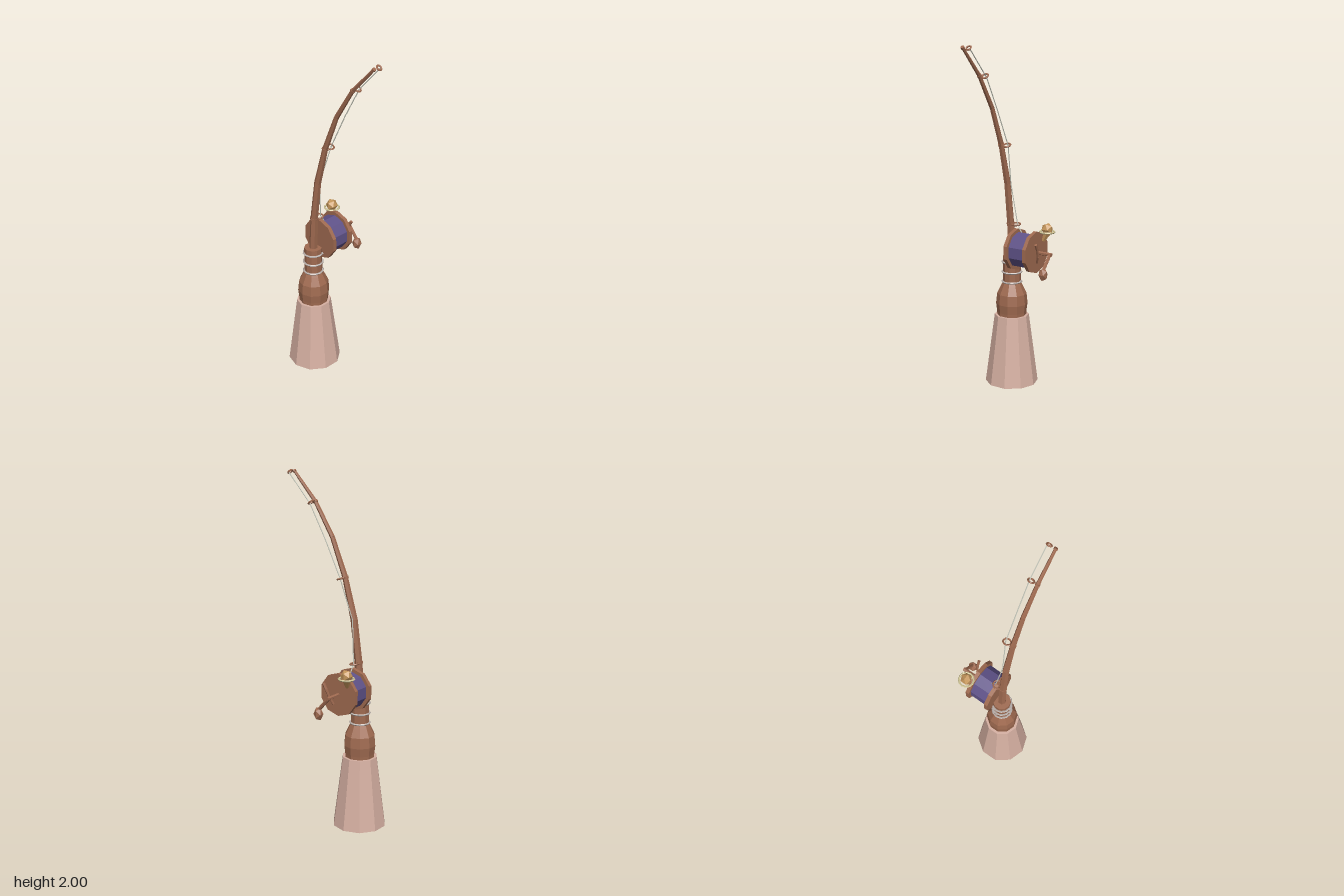
import * as THREE from 'three';

const V = (x, y, z) => new THREE.Vector3(x, y, z);
const paint = (color) => {
  const m = new THREE.MeshStandardMaterial({ color });
  m.flatShading = true;
  return m;
};

export function createModel() {
  const model = new THREE.Group();
  const mats = {
    wood: paint(0x9f6a50),
    cork: paint(0xd6b0a2),
    thread: paint(0x5f5288),
    brass: paint(0xc4955a),
    paleBrass: paint(0xcfc494),
    wire: paint(0xbdb3ae),
    line: paint(0xc4c6ba),
  };
  for (const [name, m] of Object.entries(mats)) m.name = name;

  const add = (name, geometry, material, position = V(0, 0, 0)) => {
    const mesh = new THREE.Mesh(geometry, material);
    mesh.name = name;
    mesh.position.copy(position);
    model.add(mesh);
    return mesh;
  };
  const up = V(0, 1, 0);
  // tapered bar between two points
  const bar = (name, a, b, ra, rb, sides, material) => {
    const dir = b.clone().sub(a);
    const mesh = add(name, new THREE.CylinderGeometry(rb, ra, dir.length(), sides), material,
      a.clone().add(b).multiplyScalar(0.5));
    mesh.quaternion.setFromUnitVectors(up, dir.normalize());
    return mesh;
  };
  // ring whose axis follows a direction
  const ring = (name, center, axis, radius, tube, sides, material) => {
    const mesh = add(name, new THREE.TorusGeometry(radius, tube, 5, sides), material, center);
    mesh.quaternion.setFromUnitVectors(V(0, 0, 1), axis);
    return mesh;
  };

  const hx = -0.163, hz = 0.07;

  // butt grip and turned handle
  add('buttGrip', new THREE.CylinderGeometry(0.1, 0.154, 0.412, 10), mats.cork, V(hx, 0.206, hz));
  const profile = [[0, 0.39], [0.084, 0.39], [0.086, 0.43], [0.092, 0.48], [0.086, 0.54],
    [0.062, 0.59], [0.052, 0.61], [0.052, 0.765], [0, 0.765]].map((p) => new THREE.Vector2(...p));
  add('handle', new THREE.LatheGeometry(profile, 10), mats.wood, V(hx, 0, hz));
  for (const y of [0.612, 0.67, 0.73]) ring('handleBinding', V(hx, y, hz), up, 0.056, 0.006, 12, mats.wire);

  // bent rod in tapering sections
  const path = [[-0.162, 0.74], [-0.15, 0.96], [-0.118, 1.2], [-0.056, 1.43], [0.032, 1.645],
    [0.15, 1.832], [0.297, 1.99]].map(([x, y]) => V(x, y, hz));
  const radii = [0.025, 0.022, 0.02, 0.016, 0.0135, 0.011, 0.008];
  for (let i = 0; i < path.length - 1; i++)
    bar('rodSection', path[i], path[i + 1], radii[i], radii[i + 1], 6, mats.wood);

  // line guides: a collar on the rod and an eye behind it
  for (const [i, r] of [[1, 0.025], [3, 0.022], [5, 0.018], [6, 0.014]]) {
    const a = path[Math.max(i - 1, 0)], b = path[Math.min(i + 1, 6)];
    const t = b.clone().sub(a).normalize();
    bar('guideCollar', path[i].clone().addScaledVector(t, -0.006), path[i].clone().addScaledVector(t, 0.006),
      radii[i] + 0.003, radii[i] + 0.003, 6, mats.wood);
    ring('guideEye', V(path[i].x, path[i].y, 0.032), t, r, 0.005, 10, mats.wood);
  }

  // fishing line through the guides
  const linePts = [V(-0.15, 0.9, -0.015), V(-0.15, 0.96, 0.022), V(-0.122, 1.2, 0.05),
    V(-0.056, 1.43, 0.024), V(0.048, 1.64, 0.024), V(0.15, 1.825, 0.022), V(0.297, 1.985, 0.022)];
  for (let i = 0; i < linePts.length - 1; i++)
    bar('fishingLine', linePts[i], linePts[i + 1], 0.003, 0.003, 5, mats.line);

  // reel: spool between two flanges
  const rx = -0.145, ry = 0.815;
  const disc = (name, r, z0, z1, material) => {
    const mesh = add(name, new THREE.CylinderGeometry(r, r, z1 - z0, 10), material, V(rx, ry, (z0 + z1) / 2));
    mesh.rotation.x = -Math.PI / 2;
  };
  disc('spool', 0.102, -0.09, 0.015, mats.thread);
  disc('frontFlange', 0.122, -0.016 + 0.031, 0.038, mats.wood);
  disc('backFlange', 0.122, -0.112, -0.09, mats.wood);

  // crank with knob
  const elbow = V(rx, ry, -0.2), knobAt = V(-0.076, 0.715, -0.2);
  bar('crankShaft', V(rx, ry, -0.1), V(rx, ry, -0.211), 0.011, 0.011, 6, mats.wood);
  bar('crankArm', elbow, V(-0.078, 0.74, -0.2), 0.011, 0.01, 6, mats.wood);
  const knob = add('crankKnob', new THREE.IcosahedronGeometry(0.028, 0), mats.wood, knobAt);
  knob.scale.y = 1.45;

  // curved drag lever
  const lever = [V(-0.125, 0.76, -0.128), V(-0.108, 0.8, -0.142), V(-0.092, 0.845, -0.15), V(-0.074, 0.88, -0.152)];
  for (let i = 0; i < 3; i++)
    bar('dragLever', lever[i], lever[i + 1], 0.006 + i * 0.001, 0.007 + i * 0.001, 6, mats.wood);

  // strike bell with rim
  const bell = V(-0.218, 0.94, -0.135);
  const dome = add('bellDome', new THREE.IcosahedronGeometry(0.035, 0), mats.brass, bell);
  dome.scale.y = 1.05;
  ring('bellRim', V(bell.x, 0.924, bell.z), up, 0.042, 0.006, 12, mats.paleBrass);
  bar('bellStem', V(bell.x + 0.01, 0.87, -0.115), V(bell.x, 0.92, bell.z), 0.01, 0.024, 6, mats.brass);

  return model;
}
